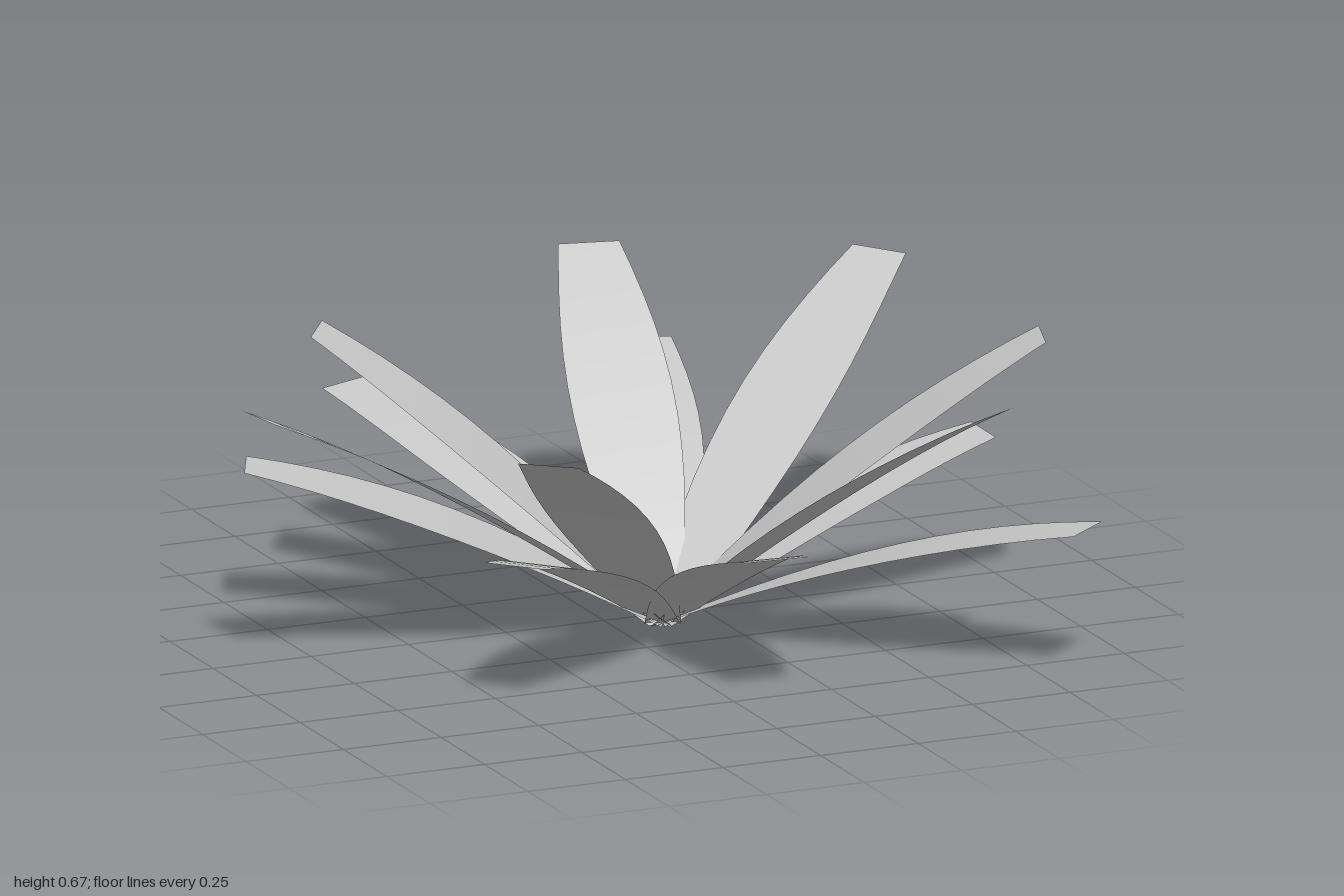
import * as THREE from 'three';

// Common root of all leaves
const CX = 0.12, CZ = 0.07;
const UPPER_HEIGHT = 0.672, LOWER_HEIGHT = 0.375;

// Ground positions [x, z] of the leaf tips, one list per tier
const UPPER_TIPS = [
  [0.32, -0.805], [0.92, -0.48], [0.975, 0.335], [0.6, 0.912],
  [-0.535, 0.885], [-0.99, 0.24], [-0.56, -0.395],
];
const LOWER_TIPS = [
  [0.525, -0.97], [0.94, 0.075], [0.82, 0.945], [0.055, 0.89],
  [-0.535, 0.685], [-0.76, -0.355], [-0.265, -0.9],
];

// Half width along the blade: narrow root, full middle, blunt tip
const halfWidth = (t) => 0.045 + 0.028 * t + 0.065 * Math.sin(Math.PI * t);

// A thin blade, flat across, that rises to its tip in a shallow arch
function leafGeometry(length, height, arch) {
  const geo = new THREE.PlaneGeometry(2, 1, 2, 12);
  const pos = geo.attributes.position;
  for (let i = 0; i < pos.count; i++) {
    const side = pos.getX(i);
    const t = pos.getY(i) + 0.5;
    pos.setXYZ(i, side * halfWidth(t), height * t * (1 + arch * (1 - t)), -length * t);
  }
  geo.computeVertexNormals();
  return geo;
}

export function createModel() {
  const plant = new THREE.Group();
  plant.name = 'leafRosette';
  const leafGrey = new THREE.MeshStandardMaterial({ color: 0xc8c8c8, side: THREE.DoubleSide });
  leafGrey.name = 'leafGrey';

  function addTier(name, tips, height, arch) {
    const tier = new THREE.Group();
    tier.name = name + 'Leaves';
    tips.forEach(([x, z], i) => {
      const dx = x - CX, dz = z - CZ;
      const leaf = new THREE.Mesh(leafGeometry(Math.hypot(dx, dz), height, arch), leafGrey);
      leaf.name = name + 'Leaf' + (i + 1);
      leaf.position.set(CX, 0, CZ);
      leaf.rotation.y = Math.atan2(-dx, -dz);
      tier.add(leaf);
    });
    plant.add(tier);
  }

  addTier('upper', UPPER_TIPS, UPPER_HEIGHT, 0.25);
  addTier('lower', LOWER_TIPS, LOWER_HEIGHT, 0.5);
  return plant;
}
